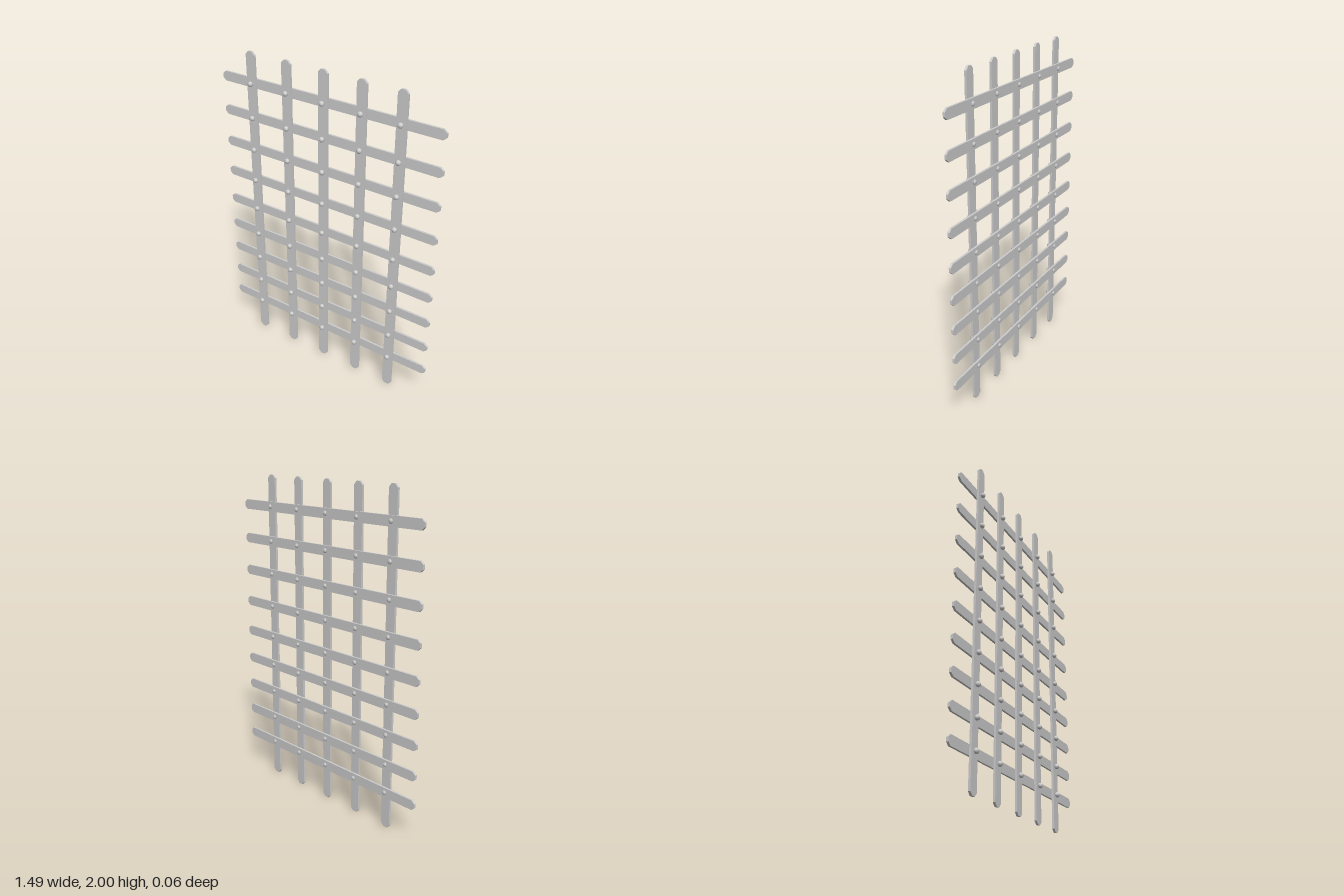
import * as THREE from 'three';

const material = new THREE.MeshStandardMaterial({ color: 0xcccccc });
const flat = new THREE.MeshStandardMaterial({ color: 0xcccccc, flatShading: true });

// Flat bar along y with clipped corners at both ends, back face at z = 0
function barGeometry(length, width, depth) {
  const h = length / 2, w = width / 2, tip = 0.013, cut = 0.02;
  const outline = [
    [-w, -h + cut], [-tip, -h], [tip, -h], [w, -h + cut],
    [w, h - cut], [tip, h], [-tip, h], [-w, h - cut],
  ].map(([x, y]) => new THREE.Vector2(x, y));
  return new THREE.ExtrudeGeometry(new THREE.Shape(outline), { depth, bevelEnabled: false });
}

// Rivet along z: round front head, shank through both bars, low back dome
function rivetGeometry() {
  const profile = [new THREE.Vector2(0, -0.03)];
  for (const [r, z] of [
    [0.008, -0.029], [0.013, -0.025], [0.015, -0.021], [0.01, -0.0205],
    [0.01, 0.0065], [0.014, 0.009], [0.016, 0.013], [0.016, 0.018],
    [0.014, 0.024], [0.008, 0.0285], [0, 0.03],
  ]) profile.push(new THREE.Vector2(r, z));
  return new THREE.LatheGeometry(profile, 16).rotateX(Math.PI / 2);
}

export function createModel() {
  const model = new THREE.Group();
  model.name = 'lattice';
  const columns = [-0.516, -0.26, -0.008, 0.243, 0.49];
  const rows = [0.23, 0.408, 0.593, 0.778, 0.969, 1.173, 1.383, 1.592, 1.807];

  const add = (geometry, mat, name, x, y, z) => {
    const mesh = new THREE.Mesh(geometry, mat);
    mesh.name = name;
    mesh.position.set(x, y, z);
    model.add(mesh);
  };

  // Upright bars in front
  const upright = barGeometry(2, 0.063, 0.014);
  columns.forEach((x, i) => add(upright, flat, `uprightBar${i + 1}`, x, 1, -0.008));

  // Cross bars behind
  const cross = barGeometry(1.49, 0.06, 0.013).rotateZ(Math.PI / 2);
  rows.forEach((y, i) => add(cross, flat, `crossBar${i + 1}`, 0, y, -0.021));

  // A rivet at every crossing
  const rivet = rivetGeometry();
  rows.forEach((y, j) => columns.forEach((x, i) =>
    add(rivet, material, `rivet${j + 1}_${i + 1}`, x, y, 0)));

  return model;
}
